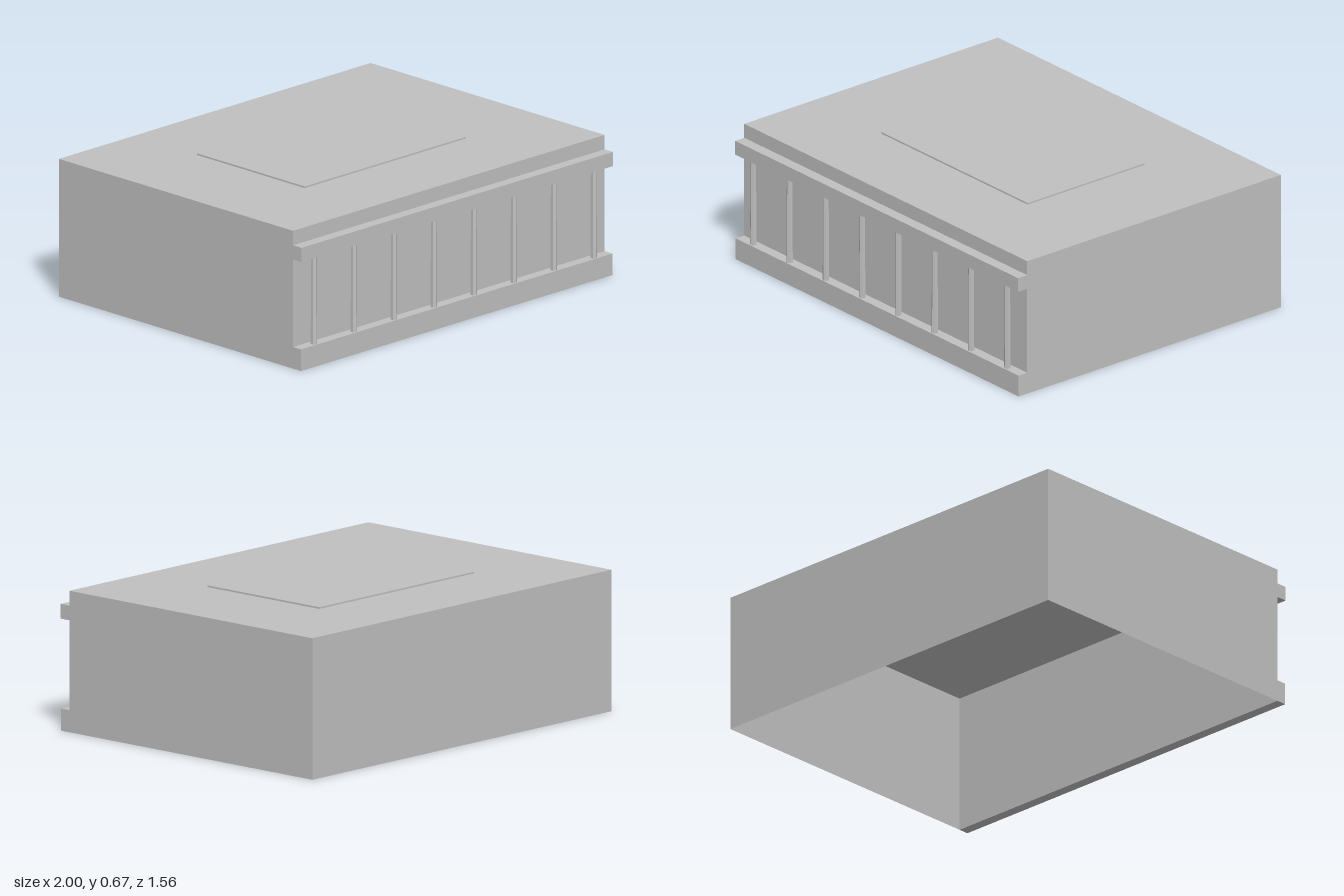
import * as THREE from 'three';

const BOTTOM = 3, BACK = 5; // side order of a box: +x -x +y -y +z -z

export function createModel() {
  const model = new THREE.Group();
  model.name = 'flatRoofedBuilding';
  const concrete = new THREE.MeshStandardMaterial({ color: 0xc0c0c0, side: THREE.DoubleSide, flatShading: true });
  concrete.name = 'concreteGrey';

  // Box between two corners, with one hidden side left open
  function openBox(name, [x0, y0, z0], [x1, y1, z1], openSide) {
    const geometry = new THREE.BoxGeometry(x1 - x0, y1 - y0, z1 - z0);
    const index = Array.from(geometry.index.array);
    index.splice(openSide * 6, 6);
    geometry.setIndex(index);
    geometry.clearGroups();
    geometry.translate((x0 + x1) / 2, (y0 + y1) / 2, (z0 + z1) / 2);
    const mesh = new THREE.Mesh(geometry, concrete);
    mesh.name = name;
    model.add(mesh);
  }

  const wallZ = 0.724, plinthTop = 0.103, corniceBottom = 0.52, roofY = 0.657;

  // Thin-walled hall, open underneath
  openBox('hall', [-1, 0, -0.777], [1, roofY, wallZ], BOTTOM);
  openBox('roofPlate', [-0.517, roofY, -0.374], [0.517, 0.665, 0.317], BOTTOM);

  // Ledges along the front
  openBox('plinth', [-1, 0, wallZ], [1, plinthTop, 0.775], BACK);
  openBox('cornice', [-1, corniceBottom, wallZ], [1, 0.588, 0.778], BACK);

  // Slender tapered columns between the ledges
  const columns = new THREE.Group();
  columns.name = 'columns';
  const height = corniceBottom - plinthTop;
  const shaft = new THREE.CylinderGeometry(0.0135, 0.0155, height, 6);
  for (let i = 0; i < 8; i++) {
    const column = new THREE.Mesh(shaft, concrete);
    column.name = `column${i + 1}`;
    column.position.set((i - 3.5) * 0.2565, plinthTop + height / 2, 0.756);
    columns.add(column);
  }
  model.add(columns);

  return model;
}
